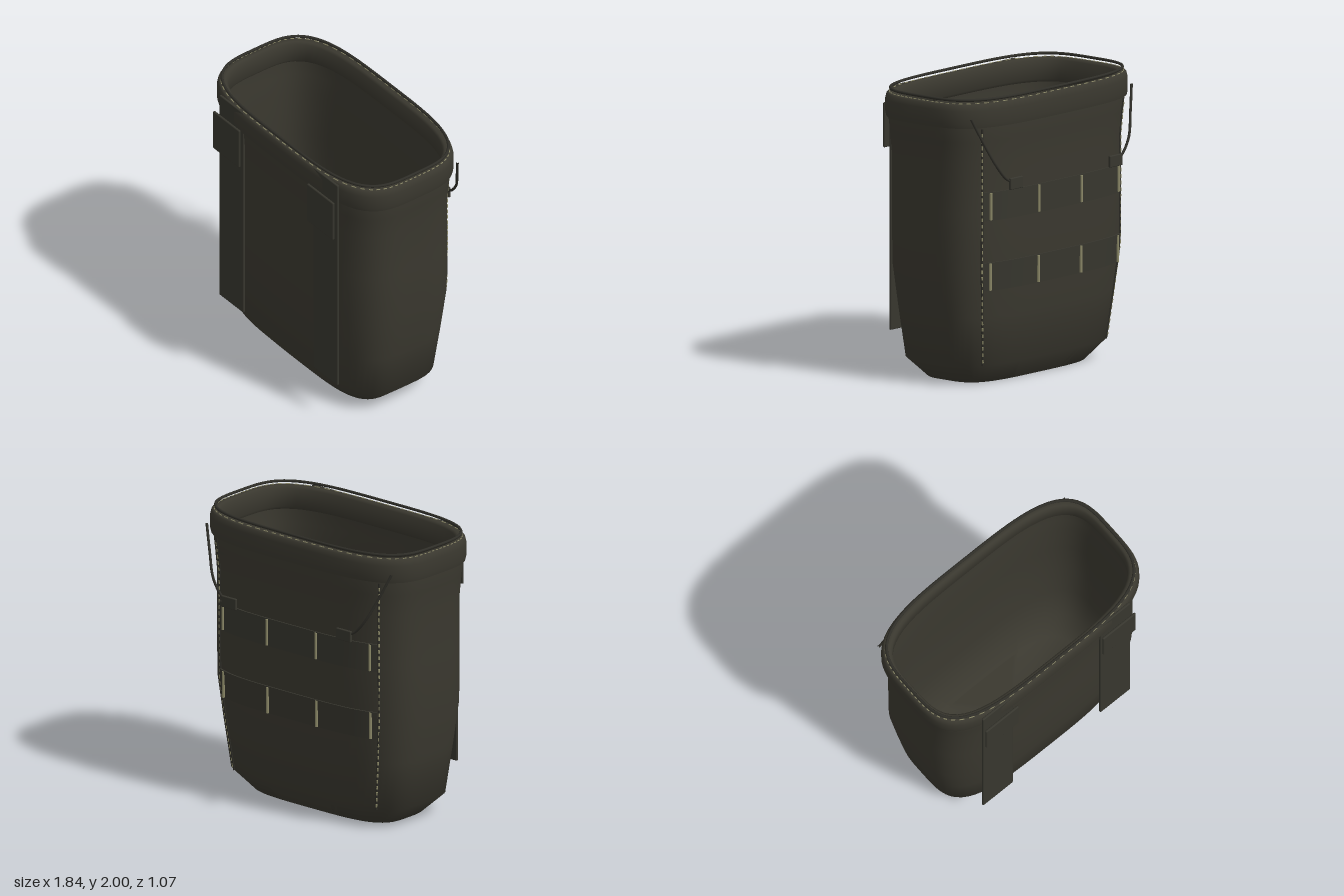
import * as THREE from 'three';
import { mergeGeometries, mergeVertices, toCreasedNormals } from 'three/addons/utils/BufferGeometryUtils.js';
import { RoundedBoxGeometry } from 'three/addons/geometries/RoundedBoxGeometry.js';

const mat = (name, color) => {
  const m = new THREE.MeshStandardMaterial({ color });
  m.name = name;
  return m;
};

// rounded-rectangle section: half width w, half depth d
const N = 3.7;
function section(w, d, y, a) {
  const c = Math.cos(a), s = Math.sin(a);
  const r = 1 / Math.pow(Math.abs(c) ** N + Math.abs(s) ** N, 1 / N);
  return new THREE.Vector3(w * r * c, y, d * r * s);
}

// skin a profile of [halfWidth, halfDepth, y] between two angles
function loft(profile, a0 = 0, a1 = Math.PI * 2, seg = 96, crease = 0.9) {
  const pos = [], idx = [];
  for (const [w, d, y] of profile)
    for (let i = 0; i <= seg; i++) pos.push(...section(w, d, y, a0 + (a1 - a0) * i / seg).toArray());
  for (let j = 0; j < profile.length - 1; j++)
    for (let i = 0; i < seg; i++) {
      const p = j * (seg + 1) + i, q = p + seg + 1;
      idx.push(p, q, p + 1, p + 1, q, q + 1);
    }
  const g = new THREE.BufferGeometry();
  g.setAttribute('position', new THREE.Float32BufferAttribute(pos, 3));
  g.setIndex(idx);
  return toCreasedNormals(mergeVertices(g), crease);
}

// outer body sizes by height
const OUTER = [
  [0.63, 0.29, 0], [0.78, 0.4, 0.14], [0.83, 0.435, 0.48], [0.87, 0.465, 0.79],
  [0.872, 0.468, 1.2], [0.872, 0.47, 1.55], [0.885, 0.48, 1.7], [0.897, 0.49, 1.82],
];
function sizeAt(y) {
  const k = Math.max(1, OUTER.findIndex(p => p[2] >= y));
  const [a, b] = [OUTER[k - 1], OUTER[k]];
  const t = (y - a[2]) / (b[2] - a[2]);
  return [a[0] + (b[0] - a[0]) * t, a[1] + (b[1] - a[1]) * t];
}
const onBody = (y, a, off = 0) => {
  const [w, d] = sizeAt(y);
  return section(w + off, d + off, y, a);
};

// one stitch between two points
function stitch(p, q, r) {
  const dir = q.clone().sub(p);
  const g = new THREE.CylinderGeometry(r, r, dir.length(), 6);
  g.applyQuaternion(new THREE.Quaternion().setFromUnitVectors(new THREE.Vector3(0, 1, 0), dir.normalize()));
  return g.translate(...p.clone().add(q).multiplyScalar(0.5).toArray());
}

export function createModel() {
  const model = new THREE.Group();
  model.name = 'pouch';
  const fabric = mat('olive fabric', 0x3a382f);
  const webbing = mat('dark webbing', 0x37362e);
  const cordMat = mat('dark cord', 0x2f2e28);
  const thread = mat('pale thread', 0x8c8968);
  const add = (name, geo, material, x = 0, y = 0, z = 0) => {
    const m = new THREE.Mesh(geo, material);
    m.name = name;
    m.position.set(x, y, z);
    model.add(m);
    return m;
  };

  // hollow body: base, outer wall, lip, inner wall, floor
  const inner = OUTER.slice(1).reverse().map(([w, d, y]) => [w - 0.035, d - 0.035, y]);
  add('body', loft([
    [0, 0, 0], ...OUTER, [0.885, 0.475, 1.955], [0.86, 0.45, 1.955],
    ...inner, [0.62, 0.28, 0.03], [0, 0, 0.03],
  ]), fabric);

  // wide hem around the mouth
  add('topBand', loft([
    [0.86, 0.45, 1.8], [0.912, 0.495, 1.8], [0.918, 0.501, 1.83], [0.918, 0.501, 1.92], [0.91, 0.494, 1.955],
    [0.9, 0.485, 1.965], [0.865, 0.45, 1.965], [0.852, 0.437, 1.95], [0.85, 0.435, 1.82], [0.86, 0.45, 1.8],
  ]), fabric);

  // cord ring above the mouth
  const ring = [];
  for (let i = 0; i < 64; i++) ring.push(section(0.884, 0.474, 1.99, i / 64 * Math.PI * 2));
  add('rimCord', new THREE.TubeGeometry(new THREE.CatmullRomCurve3(ring, true), 128, 0.01, 8, true), cordMat);

  // stitching on top of the hem
  const rimStitches = [];
  for (let i = 0; i < 80; i++) {
    const a = i / 80 * Math.PI * 2;
    rimStitches.push(stitch(section(0.893, 0.478, 1.966, a), section(0.893, 0.478, 1.966, a + 0.04), 0.004));
  }
  add('rimStitches', mergeGeometries(rimStitches), thread);

  // webbing rows across the back, with pale bar tacks
  for (const y of [0.765, 1.25]) {
    const h = 0.098, [lw, ld] = sizeAt(y - h), [tw, td] = sizeAt(y + h);
    const row = loft([
      [lw - 0.01, ld - 0.01, y - h], [lw + 0.01, ld + 0.01, y - h],
      [tw + 0.01, td + 0.01, y + h], [tw - 0.01, td - 0.01, y + h],
    ], -Math.PI * 0.74, -Math.PI * 0.26, 48);
    add('backWebbing', row, webbing);
    for (const x of [-0.66, -0.22, 0.22, 0.66]) {
      const [w, d] = sizeAt(y);
      const z = -(d + 0.012) * Math.pow(1 - Math.pow(Math.abs(x) / (w + 0.012), N), 1 / N);
      add('barTack', new THREE.CylinderGeometry(0.01, 0.01, 0.185, 8), thread, x, y, z);
    }
  }

  for (const s of [1, -1]) {
    // front strap and its raised pad
    add('frontStrap', new RoundedBoxGeometry(0.265, 1.68, 0.018, 2, 0.007), webbing, s * 0.518, 1.125, 0.478);
    add('strapPad', new RoundedBoxGeometry(0.288, 0.31, 0.018, 2, 0.008), webbing, s * 0.517, 1.69, 0.525);

    // stitched seam on the back corner
    const angle = s > 0 ? -Math.PI * 0.255 : -Math.PI * 0.745;
    const seamPath = new THREE.CatmullRomCurve3([0.14, 0.48, 0.79, 1.2, 1.55, 1.79].map(y => onBody(y, angle)));
    add('cornerSeam', new THREE.TubeGeometry(seamPath, 48, 0.009, 6), cordMat);
    const dashes = [];
    for (let y = 0.16; y < 1.77; y += 0.045)
      dashes.push(stitch(onBody(y, angle, 0.006), onBody(y + 0.024, angle, 0.006), 0.006));
    add('cornerStitches', mergeGeometries(dashes), thread);

    // pull cord hanging from the hem, ending in a flat tab
    const cord = new THREE.CatmullRomCurve3([
      new THREE.Vector3(s * 0.83, 1.87, -0.4), new THREE.Vector3(s * 0.76, 1.7, -0.45),
      new THREE.Vector3(s * 0.685, 1.54, -0.5), new THREE.Vector3(s * 0.6, 1.44, -0.517),
      new THREE.Vector3(s * 0.53, 1.41, -0.527),
    ]);
    add('pullCord', new THREE.TubeGeometry(cord, 32, 0.009, 8), cordMat);
    add('pullTab', new RoundedBoxGeometry(0.13, 0.08, 0.02, 2, 0.006), webbing, s * 0.515, 1.405, -0.528);
  }
  return model;
}
